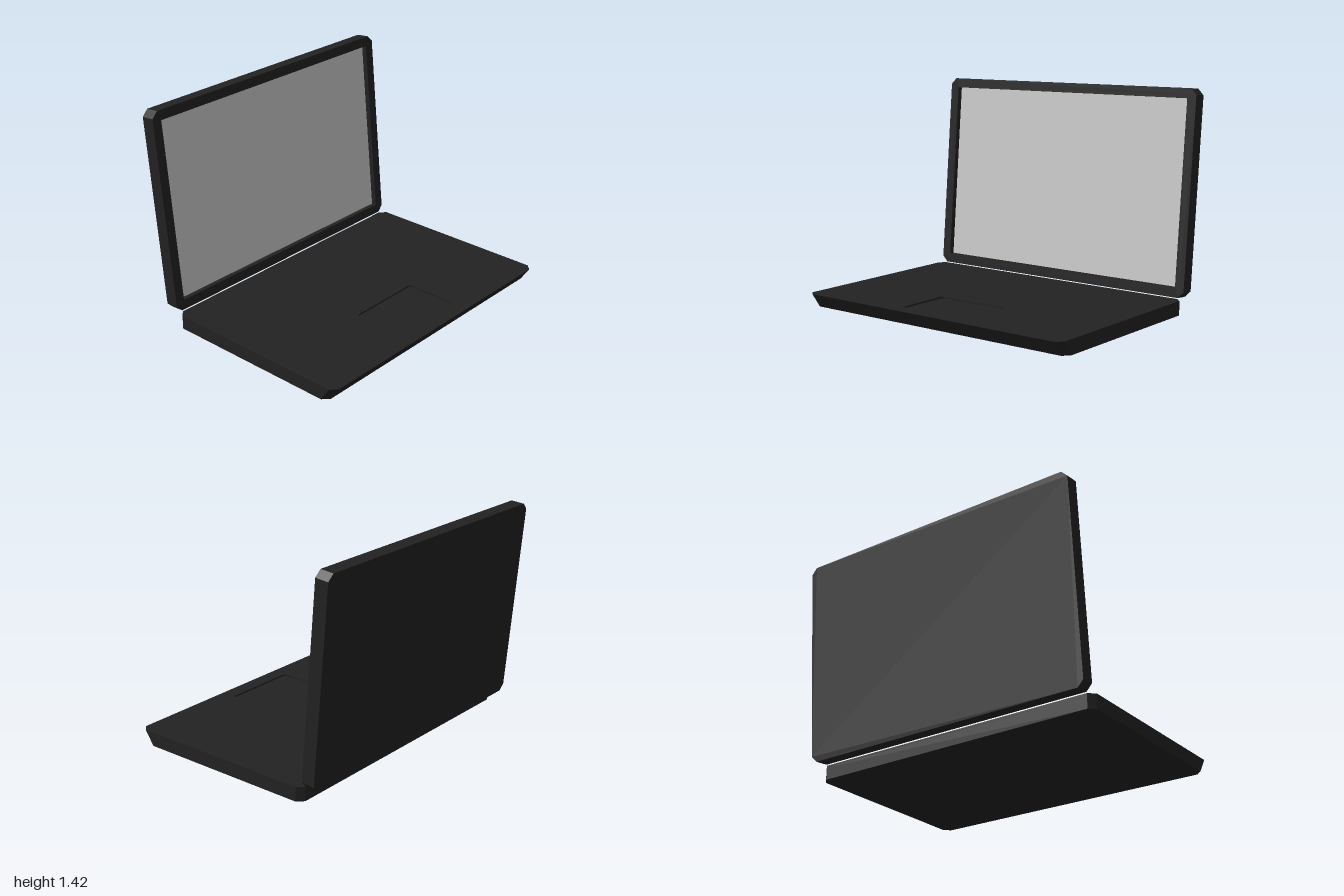
import * as THREE from 'three';

const BASE_H = 0.093, PAD_DEPTH = 0.012;
const LID_H = 1.327, LID_T = 0.09, SCREEN_DEPTH = 0.038;

// Rectangle with cut corners, counter-clockwise
function panel(x0, x1, y0, y1, c, Type = THREE.Shape) {
  return new Type([
    [x0 + c, y0], [x1 - c, y0], [x1, y0 + c], [x1, y1 - c],
    [x1 - c, y1], [x0 + c, y1], [x0, y1 - c], [x0, y0 + c],
  ].map(([x, y]) => new THREE.Vector2(x, y)));
}

function slab(shape, depth) {
  return new THREE.ExtrudeGeometry(shape, { depth, bevelEnabled: false });
}

// Lay a slab flat at height y and slope its front edge back towards the bottom
function baseSlab(shape, y, height) {
  const geo = slab(shape, height).rotateX(-Math.PI / 2).translate(0, y, 0);
  const p = geo.attributes.position;
  for (let i = 0; i < p.count; i++) {
    if (p.getZ(i) > 0.7) p.setZ(i, p.getZ(i) - 0.063 * (1 - p.getY(i) / BASE_H));
  }
  geo.computeVertexNormals();
  return geo;
}

export function createModel() {
  const casing = new THREE.MeshStandardMaterial({ color: 0x222222 });
  casing.name = 'black casing';
  const glass = new THREE.MeshStandardMaterial({ color: 0xcccccc });
  glass.name = 'light grey screen';

  const model = new THREE.Group();
  model.name = 'laptop';
  const add = (parent, name, geo, mat) => {
    const mesh = new THREE.Mesh(geo, mat);
    mesh.name = name;
    parent.add(mesh);
    return mesh;
  };

  // Base: solid lower body and a deck with the trackpad opening
  const base = new THREE.Group();
  base.name = 'base';
  const outline = () => panel(-1, 1, -0.768, 0.56, 0.04);
  const padArea = [-0.26, 0.26, -0.67, -0.3, 0.012];
  const deck = outline();
  deck.holes.push(panel(...padArea, THREE.Path));
  add(base, 'baseBody', baseSlab(outline(), 0, BASE_H - PAD_DEPTH), casing);
  add(base, 'deck', baseSlab(deck, BASE_H - PAD_DEPTH, PAD_DEPTH), casing);

  // Trackpad sunk into the deck
  const pad = new THREE.ShapeGeometry(panel(...padArea)).rotateX(-Math.PI / 2);
  add(base, 'trackpad', pad, casing).position.y = BASE_H - PAD_DEPTH + 0.001;
  model.add(base);

  // Lid: back shell, bezel and recessed screen, leaning back
  const lid = new THREE.Group();
  lid.name = 'lid';
  const lidOutline = () => panel(-1, 1, 0, LID_H, 0.04);
  const bezel = lidOutline();
  bezel.holes.push(panel(-0.936, 0.936, 0.064, LID_H - 0.064, 0, THREE.Path));
  add(lid, 'lidShell', slab(lidOutline(), LID_T - SCREEN_DEPTH), casing).position.z = -LID_T;
  add(lid, 'bezel', slab(bezel, SCREEN_DEPTH), casing).position.z = -SCREEN_DEPTH;
  add(lid, 'screen', new THREE.PlaneGeometry(1.872, LID_H - 0.128), glass)
    .position.set(0, LID_H / 2, -SCREEN_DEPTH + 0.002);
  lid.position.set(0, 0.098, -0.565);
  lid.rotation.x = -0.087;
  model.add(lid);

  return model;
}
